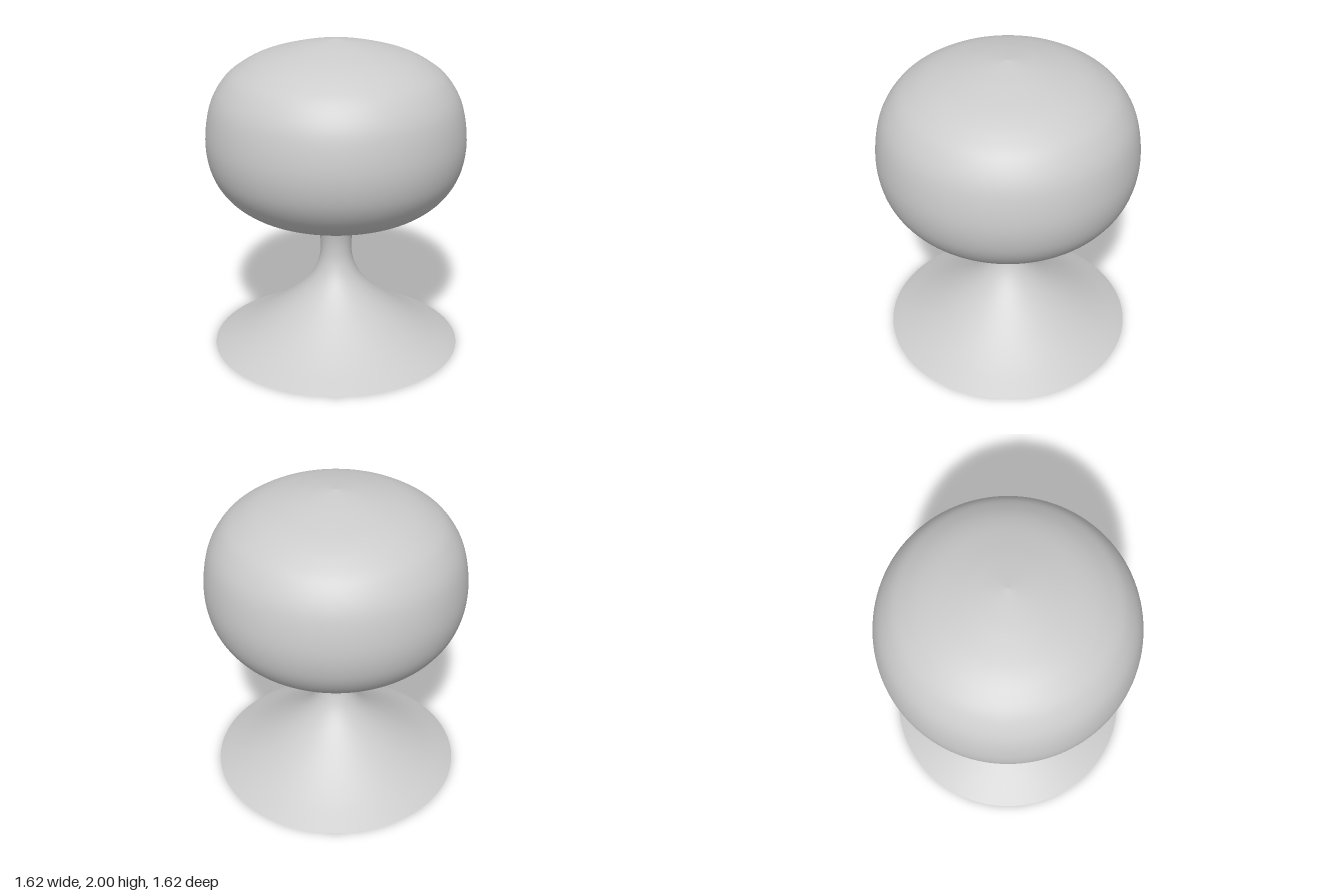
import * as THREE from 'three';

const material = new THREE.MeshStandardMaterial({ color: 0xcccccc, side: THREE.DoubleSide });

// Turns a smooth curve through [radius, height] points, listed from the bottom up
function turned(name, profile, steps) {
  const curve = new THREE.SplineCurve(profile.map(([r, y]) => new THREE.Vector2(r, y)));
  const points = curve.getPoints(steps);
  points.forEach((p) => { p.x = Math.max(p.x, 0); });
  const mesh = new THREE.Mesh(new THREE.LatheGeometry(points, 128), material);
  mesh.name = name;
  return mesh;
}

export function createModel() {
  const group = new THREE.Group();
  group.name = 'mushroomLamp';

  // Hollow flared foot running up into a narrow stem that widens again below the shade
  group.add(turned('footAndStem', [
    [0.795, 0], [0.62, 0.088], [0.45, 0.195], [0.28, 0.325], [0.17, 0.44],
    [0.115, 0.55], [0.1, 0.66], [0.114, 0.78], [0.155, 0.885], [0.172, 0.908],
  ], 72));

  // Bulbous shade with a slightly dished underside and a shallow pointed top
  group.add(turned('shade', [
    [0.165, 0.908], [0.23, 0.894], [0.32, 0.886], [0.47, 0.908], [0.6, 0.967],
    [0.71, 1.065], [0.785, 1.205], [0.81, 1.39], [0.775, 1.605], [0.69, 1.755],
    [0.58, 1.845], [0.45, 1.908], [0.27, 1.957], [0.13, 1.983], [0, 2],
  ], 112));

  return group;
}
